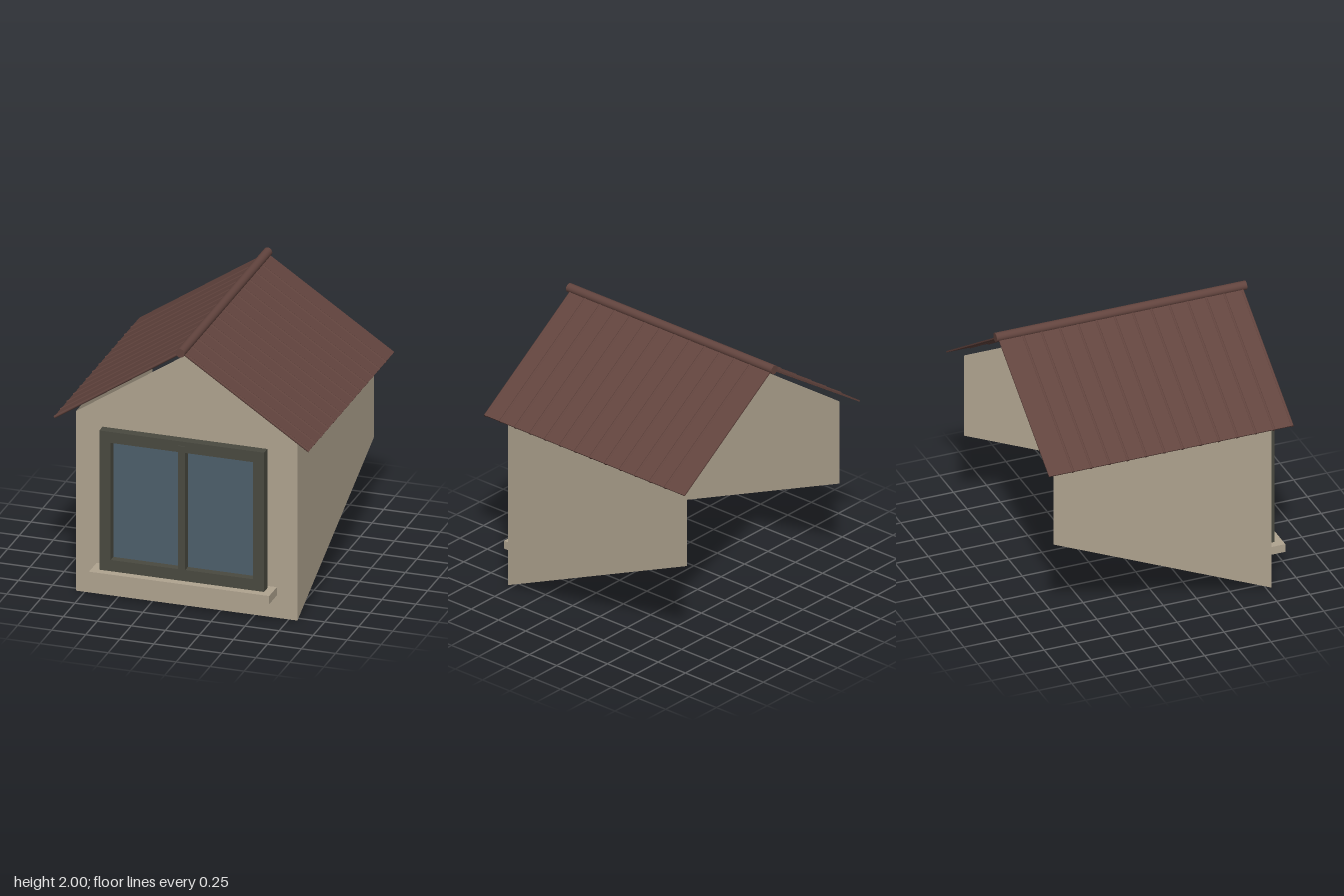
import * as THREE from 'three';

export function createModel() {
  const model = new THREE.Group();
  model.name = 'dormer';

  const material = (name, color, side = THREE.FrontSide) => {
    const m = new THREE.MeshStandardMaterial({ color, side });
    m.name = name;
    return m;
  };
  const render = material('beige render', 0xb0a490, THREE.DoubleSide);
  const roofing = material('brown roofing', 0x62443e, THREE.DoubleSide);
  const frame = material('dark frame', 0x4a4a40);
  const glass = material('blue grey glass', 0x4e606c);

  const add = (name, geometry, mat, parent = model) => {
    const mesh = new THREE.Mesh(geometry, mat);
    mesh.name = name;
    parent.add(mesh);
    return mesh;
  };
  // Box given by its limits on each axis
  const box = (name, mat, [x0, x1], [y0, y1], [z0, z1], parent) => {
    const mesh = add(name, new THREE.BoxGeometry(x1 - x0, y1 - y0, z1 - z0), mat, parent);
    mesh.position.set((x0 + x1) / 2, (y0 + y1) / 2, (z0 + z1) / 2);
    return mesh;
  };
  const sheet = (points) =>
    new THREE.ShapeGeometry(new THREE.Shape(points.map(([x, y]) => new THREE.Vector2(x, y))));

  // Walls: thin sheets, open at the back, cut to the slope of the main roof
  const wallX = 0.813, frontZ = 0.79, backZ = -0.853, eaveY = 1.36;
  const gable = add('gableWall',
    sheet([[-wallX, 0], [wallX, 0], [wallX, eaveY], [0, 1.9], [-wallX, eaveY]]), render);
  gable.position.z = frontZ;
  for (const side of [-1, 1]) {
    const cheek = add(side > 0 ? 'leftWall' : 'rightWall',
      sheet([[-frontZ, 0], [-backZ, 0.715], [-backZ, eaveY], [-frontZ, eaveY]]), render);
    cheek.rotation.y = Math.PI / 2;
    cheek.position.x = side * wallX;
  }

  // Window standing just proud of the gable
  const win = new THREE.Group();
  win.name = 'window';
  model.add(win);
  const depth = [0.828, 0.898];
  box('glassPane', glass, [-0.54, 0.54], [0.275, 1.245], [0.805, 0.84], win);
  box('topRail', frame, [-0.522, 0.522], [1.203, 1.286], depth, win);
  box('bottomRail', frame, [-0.522, 0.522], [0.232, 0.317], depth, win);
  box('leftStile', frame, [0.522, 0.605], [0.232, 1.286], depth, win);
  box('rightStile', frame, [-0.605, -0.522], [0.232, 1.286], depth, win);
  box('mullion', frame, [-0.026, 0.026], [0.28, 1.253], [0.835, 0.906], win);
  box('sill', render, [-0.662, 0.662], [0.17, 0.232], [0.73, 0.955]);

  // Roof: two sheets with standing ribs
  const run = 0.933, ridgeY = 1.963, drop = 0.62;
  const length = Math.hypot(run, drop), pitch = Math.atan2(drop, run);
  for (const side of [-1, 1]) {
    const slope = new THREE.Group();
    slope.name = side > 0 ? 'leftRoofSlope' : 'rightRoofSlope';
    slope.position.set(side * run / 2, ridgeY - drop / 2, 0);
    slope.rotation.z = -side * pitch;
    model.add(slope);
    const panel = box('roofPanel', roofing,
      [-length / 2, length / 2], [-0.005, 0.005], [-0.935, 0.9], slope);
    panel.position.y = 0;
    for (let i = 0; i < 13; i++) {
      const rib = add('roofRib', new THREE.CylinderGeometry(0.011, 0.011, length + 0.004, 8), roofing, slope);
      rib.rotation.z = Math.PI / 2;
      rib.position.z = -0.755 + i * 0.1375;
    }
  }

  // Ridge cap
  const ridge = add('ridgeCap', new THREE.CylinderGeometry(0.033, 0.033, 1.885, 16), roofing);
  ridge.rotation.x = Math.PI / 2;
  ridge.position.set(0, 1.967, -0.012);

  return model;
}
